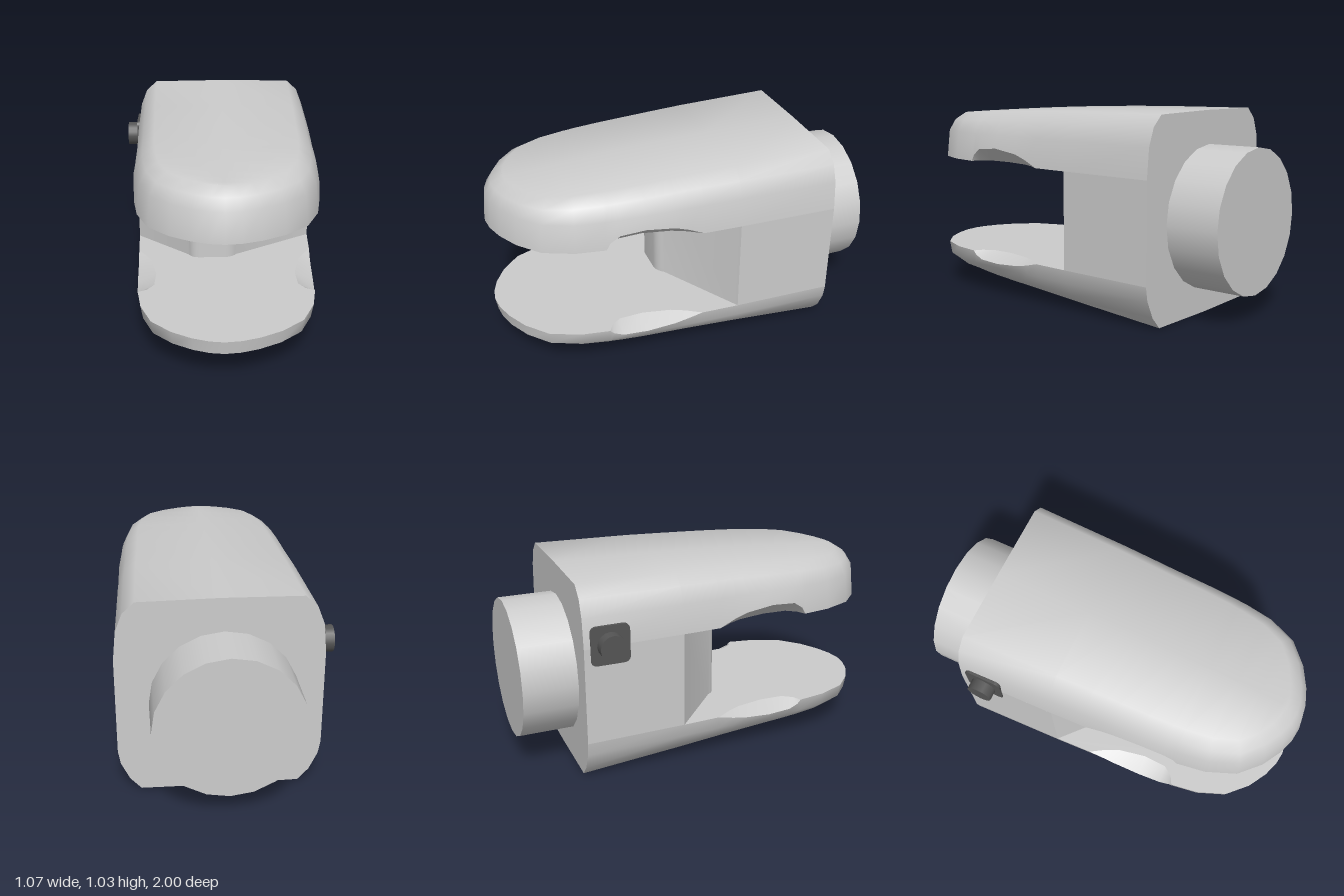
import * as THREE from 'three';
import { toCreasedNormals } from 'three/addons/utils/BufferGeometryUtils.js';

const grey = new THREE.MeshStandardMaterial({ color: 0xcccccc });
const thin = new THREE.MeshStandardMaterial({ color: 0xcccccc, side: THREE.DoubleSide });
const dark = new THREE.MeshStandardMaterial({ color: 0x555555 });

const BACK = -0.72, SLOT_TOP = 0.73, SLOT_BOTTOM = 0.23;

// Half plan outline: [half width, z, side notch amount]
const half = [
  [0.53, BACK, 0], [0.515, -0.2, 0], [0.506, 0, 0], [0.502, 0.08, 0.45], [0.5, 0.15, 0.75], [0.495, 0.3, 1],
  [0.487, 0.43, 0.88], [0.481, 0.48, 0.45], [0.48, 0.5, 0], [0.455, 0.65, 0], [0.39, 0.8, 0],
  [0.28, 0.9, 0], [0.17, 0.96, 0], [0.08, 0.99, 0], [0, 1, 0],
];
const outline = [
  ...half.map(([x, z, n]) => ({ x: -0.91 * x, z, n })),
  ...half.slice(0, -1).reverse().map(([x, z, n]) => ({ x, z, n })),
];

// Plan outline moved inwards, with a height rule for each point
function ring(inset, height) {
  const last = outline.length - 1;
  return outline.map((p, i) => {
    const a = outline[Math.max(i - 1, 0)], b = outline[Math.min(i + 1, last)];
    const len = Math.hypot(b.x - a.x, b.z - a.z);
    const d = typeof inset === 'function' ? inset(p) : inset;
    const x = p.x + d * (b.z - a.z) / len;
    const z = i === 0 || i === last ? p.z : p.z - d * (b.x - a.x) / len;
    return new THREE.Vector3(x, height(z, p), z);
  });
}

// Ridge line that closes a ring across the middle
const ridge = (r, lift) => r.map(v => new THREE.Vector3(0.02 * (1 - v.z) / 1.72, v.y + lift * (1 - v.z), v.z));

// Surface through rings ordered from low to high
function skin(rings) {
  const n = outline.length, index = [];
  for (let j = 0; j < rings.length - 1; j++) {
    for (let i = 0; i < n - 1; i++) {
      const a = j * n + i, b = a + 1, c = b + n, d = a + n;
      index.push(a, b, c, a, c, d);
    }
  }
  const g = new THREE.BufferGeometry().setFromPoints(rings.flat());
  g.setIndex(index);
  return toCreasedNormals(g, 0.8);
}

export function createModel() {
  const model = new THREE.Group();
  const add = (name, geometry, material = grey, x = 0, y = 0, z = 0) => {
    const mesh = new THREE.Mesh(geometry, material);
    mesh.name = name;
    mesh.position.set(x, y, z);
    model.add(mesh);
    return mesh;
  };

  const topY = z => 1.025 - 0.021 * (z - BACK) ** 2;
  const bottomY = z => 0.008 + 0.066 * (z - BACK);
  const notchInset = p => 0.1 * p.n;

  // Upper jaw and roof
  const roofEdge = ring(0.11, topY);
  const upper = [
    ring(notchInset, () => SLOT_TOP),
    ring(0, (z, p) => SLOT_TOP + 0.08 * p.n),
    ring(0.015, () => 0.88),
    ring(0.05, z => 0.88 + 0.62 * (topY(z) - 0.88)),
    roofEdge, ridge(roofEdge, 0.003),
  ];
  add('upperJaw', skin(upper), thin);

  // Lower jaw and floor
  const floorEdge = ring(0.11, bottomY);
  const lower = [
    ridge(floorEdge, -0.003), floorEdge,
    ring(0.055, z => 0.16 + 0.6 * (bottomY(z) - 0.16)),
    ring(0.012, () => 0.16),
    ring(0, (z, p) => SLOT_BOTTOM - 0.045 * p.n),
    ring(notchInset, () => SLOT_BOTTOM),
  ];
  add('lowerJaw', skin(lower), thin);

  // Inner jaw faces, the upper one with a round blind hole
  const hole = { x: 0.02, z: 0.53, r: 0.25, depth: 0.16 };
  const jawFace = sign => new THREE.Shape(
    ring(notchInset, () => 0).slice(1, -1).map(v => new THREE.Vector2(v.x, sign * v.z)));
  const upperFace = jawFace(1);
  upperFace.holes.push(new THREE.Path().absarc(hole.x, hole.z, hole.r, 0, Math.PI * 2, true));
  add('upperJawFace', new THREE.ShapeGeometry(upperFace, 16).rotateX(Math.PI / 2), grey, 0, SLOT_TOP);
  add('lowerJawFace', new THREE.ShapeGeometry(jawFace(-1)).rotateX(-Math.PI / 2), grey, 0, SLOT_BOTTOM);
  add('holeWall', new THREE.CylinderGeometry(hole.r, hole.r, hole.depth, 32, 1, true), thin,
    hole.x, SLOT_TOP + hole.depth / 2, hole.z);
  add('holeCeiling', new THREE.CircleGeometry(hole.r, 32).rotateX(Math.PI / 2), grey,
    hole.x, SLOT_TOP + hole.depth, hole.z);

  // Middle block with a blunt wedge at the back of the slot
  const block = new THREE.Shape();
  block.moveTo(-0.4823, -BACK);
  block.lineTo(0.53, -BACK);
  block.lineTo(0.515, 0.2);
  block.lineTo(0.09, -0.06);
  block.quadraticCurveTo(0.06, -0.1, 0.02, -0.1);
  block.lineTo(-0.12, -0.1);
  block.quadraticCurveTo(-0.16, -0.1, -0.18, -0.06);
  block.lineTo(-0.4687, 0.2);
  const blockGeometry = new THREE.ExtrudeGeometry(block, {
    depth: SLOT_TOP - SLOT_BOTTOM, bevelEnabled: false, curveSegments: 5,
  }).rotateX(-Math.PI / 2);
  add('middleBlock', toCreasedNormals(blockGeometry, 0.4), grey, 0, SLOT_BOTTOM);

  // Back face closing both shells
  const stack = [...lower.slice(0, 5), ...upper.slice(1)];
  const corner = v => new THREE.Vector2(-v.x, v.y);
  const backShape = new THREE.Shape([
    ...stack.map(r => corner(r[0])),
    ...stack.slice(1, -1).reverse().map(r => corner(r[r.length - 1])),
  ]);
  add('backFace', new THREE.ShapeGeometry(backShape).rotateY(Math.PI), grey, 0, 0, BACK);

  // Round spigot at the back
  add('spigot', new THREE.CylinderGeometry(0.365, 0.365, 0.3, 20).rotateX(Math.PI / 2), grey, 0.005, 0.495, -0.85);

  // Side button on a rounded plate
  const s = 0.1, r = 0.03, plate = new THREE.Shape();
  for (let i = 0; i < 4; i++) {
    const a = i * Math.PI / 2, q = s - r;
    plate.absarc(i === 0 || i === 3 ? q : -q, i < 2 ? q : -q, r, a, a + Math.PI / 2, false);
  }
  add('buttonPlate', new THREE.ExtrudeGeometry(plate, { depth: 0.02, bevelEnabled: false, curveSegments: 4 })
    .rotateY(-Math.PI / 2), dark, -0.463, 0.738, -0.587);
  add('button', new THREE.CylinderGeometry(0.067, 0.067, 0.08, 16).rotateZ(Math.PI / 2), dark, -0.5, 0.738, -0.587);

  return model;
}
